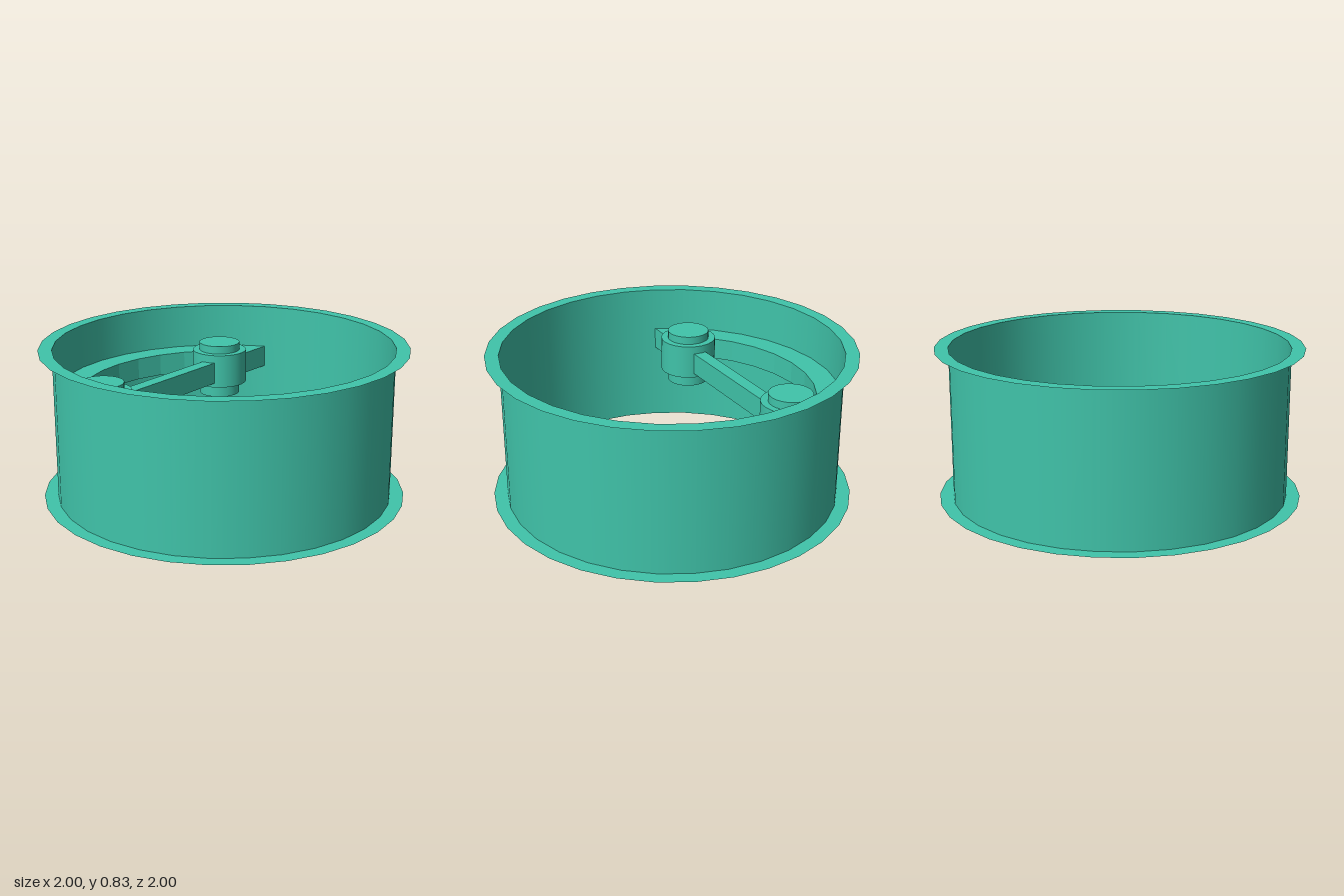
import * as THREE from 'three';

const SIDES = 32;
const HEIGHT = 0.83;
const DRUM_R = 0.925;

export function createModel() {
  const model = new THREE.Group();
  model.name = 'wheelDrum';
  const solid = new THREE.MeshStandardMaterial({ color: 0x40c4aa });
  const thin = new THREE.MeshStandardMaterial({ color: 0x40c4aa, side: THREE.DoubleSide });

  const add = (parent, name, geometry, material, x = 0, y = 0, z = 0) => {
    const mesh = new THREE.Mesh(geometry, material);
    mesh.name = name;
    mesh.position.set(x, y, z);
    parent.add(mesh);
    return mesh;
  };

  // Drum, flanges and web share a slight turn about the vertical axis
  const body = new THREE.Group();
  body.name = 'body';
  body.rotation.y = -0.026;
  model.add(body);

  // Thin open drum wall
  add(body, 'drumWall', new THREE.CylinderGeometry(DRUM_R, DRUM_R, HEIGHT, SIDES, 1, true),
    thin, 0, HEIGHT / 2, 0);

  // Flat flanges at both rims
  const flange = new THREE.RingGeometry(DRUM_R, 1, SIDES, 1).rotateX(-Math.PI / 2);
  add(body, 'bottomFlange', flange, thin, 0, 0, 0);
  add(body, 'topFlange', flange, thin, 0, HEIGHT, 0);

  // Crescent web against the rear wall; its inner arc ends inside the bosses
  const polar = (r, step) => {
    const a = (step / SIDES) * Math.PI * 2;
    return new THREE.Vector2(r * Math.cos(a), r * Math.sin(a));
  };
  const outline = [];
  for (let i = 2; i <= 14; i++) outline.push(polar(DRUM_R - 0.002, i));
  outline.push(new THREE.Vector2(-0.52, 0.354));
  for (let i = 12; i >= 4; i--) outline.push(polar(0.787, i));
  outline.push(new THREE.Vector2(0.52, 0.354));
  const web = new THREE.ExtrudeGeometry(new THREE.Shape(outline), { depth: 0.125, bevelEnabled: false });
  add(body, 'crescentWeb', web.rotateX(-Math.PI / 2), solid, 0, 0.455, 0);

  // Straight bar joining the bosses
  add(body, 'crossBar', new THREE.BoxGeometry(0.9, 0.125, 0.075), solid, 0, 0.5175, -0.397);

  // Bosses, each a sleeve with a pin protruding above and below
  for (const [side, x] of [['right', -0.525], ['left', 0.515]]) {
    add(model, side + 'Sleeve', new THREE.CylinderGeometry(0.16, 0.16, 0.195, 24), solid, x, 0.5275, -0.42);
    add(model, side + 'Pin', new THREE.CylinderGeometry(0.12, 0.12, 0.31, 24), solid, x, 0.515, -0.42);
  }

  return model;
}
